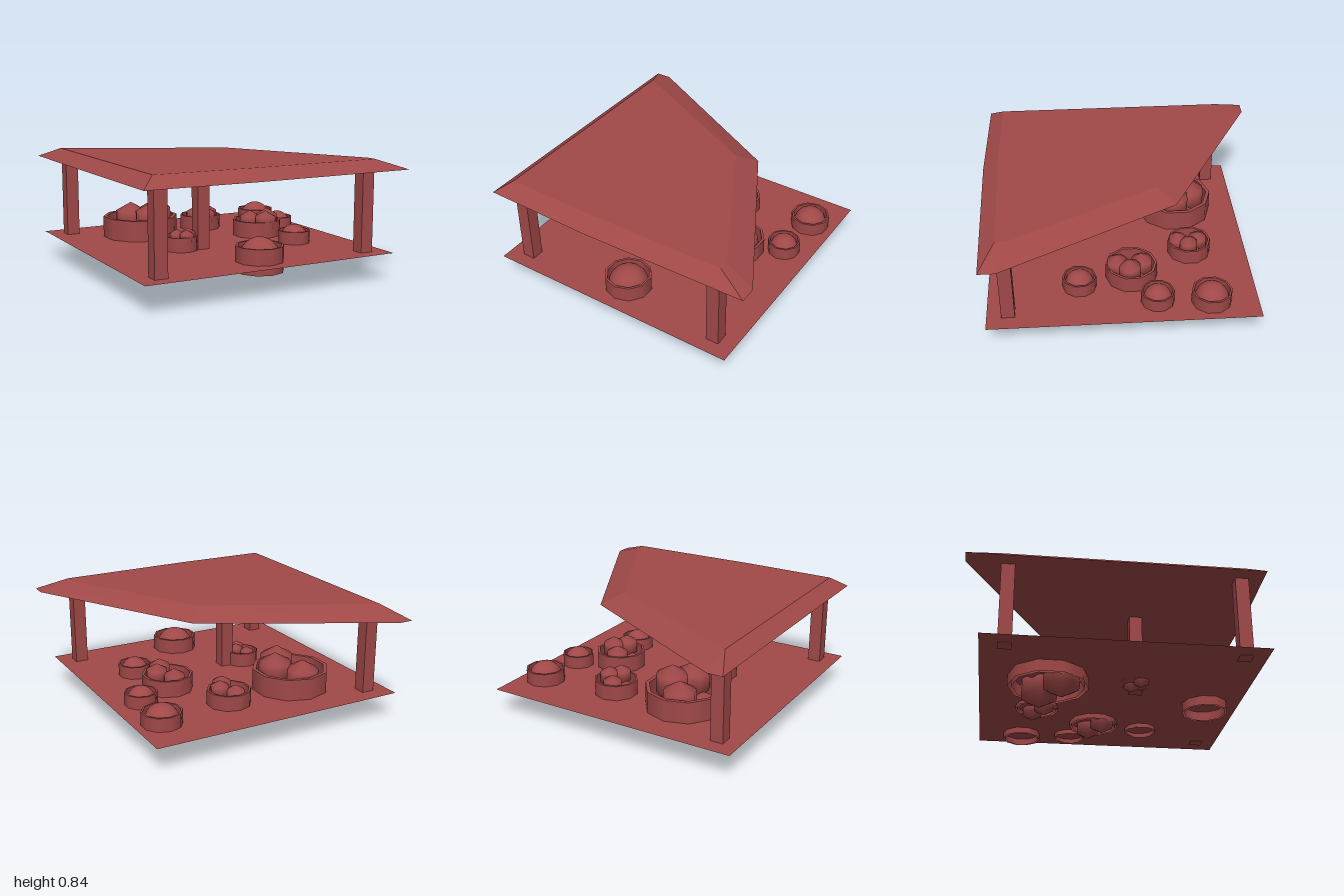
import * as THREE from 'three';
import { ConvexGeometry } from 'three/addons/geometries/ConvexGeometry.js';

const red = new THREE.MeshStandardMaterial({ color: 0xa04848, side: THREE.DoubleSide });

function add(parent, name, geometry, x = 0, y = 0, z = 0) {
  const mesh = new THREE.Mesh(geometry, red);
  mesh.name = name;
  mesh.position.set(x, y, z);
  parent.add(mesh);
  return mesh;
}

// open round basket: outer wall, narrow rim, inner wall
function basketWall(r, h) {
  const v = (x, y) => new THREE.Vector2(x, y);
  const inner = r * 0.9;
  const walls = [[v(r, -h / 2), v(r, h / 2)], [v(r, h / 2), v(inner, h / 2)], [v(inner, h / 2), v(inner, -h / 2)]];
  return walls.map((p) => new THREE.LatheGeometry(p, 10));
}

function basket(parent, name, x, y, z, r, h) {
  const group = new THREE.Group();
  group.name = name;
  group.position.set(x, y, z);
  ['outerWall', 'rim', 'innerWall'].forEach((part, i) => add(group, part, basketWall(r, h)[i]));
  parent.add(group);
  return group;
}

export function createModel() {
  const model = new THREE.Group();
  model.name = 'marketStall';

  // ground sheet
  const ground = new THREE.PlaneGeometry(1.863, 1.863).rotateX(-Math.PI / 2);
  add(model, 'groundSheet', ground, -0.057, 0.2, 0.045);

  // posts
  for (const [x, z] of [[-0.835, 0.83], [0.72, 0.83], [-0.835, -0.725], [-0.215, 0.205]]) {
    add(model, 'post', new THREE.BoxGeometry(0.092, 0.575, 0.092), x, 0.4825, z);
  }

  // sloped-edge canopy: wide outline below, narrower outline above
  const eaves = [[-0.99, -1], [-0.88, -1], [0.34, -0.34], [0.99, 0.86], [0.99, 0.975], [-0.2, 0.995], [-0.99, 0.975]];
  const top = [[-0.885, -0.78], [0.225, -0.215], [0.77, 0.8], [0.77, 0.87], [-0.2, 0.885], [-0.885, 0.87]];
  const points = [
    ...eaves.map(([x, z]) => new THREE.Vector3(x, 0.77, z)),
    ...top.map(([x, z]) => new THREE.Vector3(x, 0.845, z)),
  ];
  add(model, 'canopy', new ConvexGeometry(points));

  // baskets with one domed heap: x, y, z, radius, height
  for (const [x, y, z, r, h] of [
    [-0.05, 0.22, 0.73, 0.165, 0.175],
    [0.475, 0.23, 0.34, 0.118, 0.12],
    [0.685, 0.225, -0.56, 0.14, 0.14],
    [0.665, 0.23, -0.19, 0.116, 0.12],
  ]) {
    const group = basket(model, 'heapBasket', x, y, z, r, h);
    add(group, 'heap', new THREE.SphereGeometry(r * 0.85, 16, 6, 0, Math.PI * 2, 0, Math.PI / 2));
  }

  // baskets with loose fruit: x, y, z, radius
  const fruit = [[0.07, 0.37, 0.55], [0.41, 0.38, 0.09], [-0.1, 0.25, -0.41], [-0.37, -0.3, 0.3], [0.33, -0.3, -0.2]];
  for (const [x, y, z, r] of [
    [0.385, 0.24, -0.03, 0.182],
    [0.13, 0.24, -0.47, 0.155],
    [-0.4, 0.235, -0.42, 0.275],
    [-0.355, 0.25, 0.18, 0.118],
  ]) {
    const group = basket(model, 'fruitBasket', x, y, z, r, r * 0.85);
    for (const [fx, fy, fz] of fruit) {
      const size = r * (fy > 0 ? 0.48 : 0.53);
      add(group, 'fruit', new THREE.SphereGeometry(size, 10, 3), fx * r, fy * r, fz * r);
    }
  }
  return model;
}
